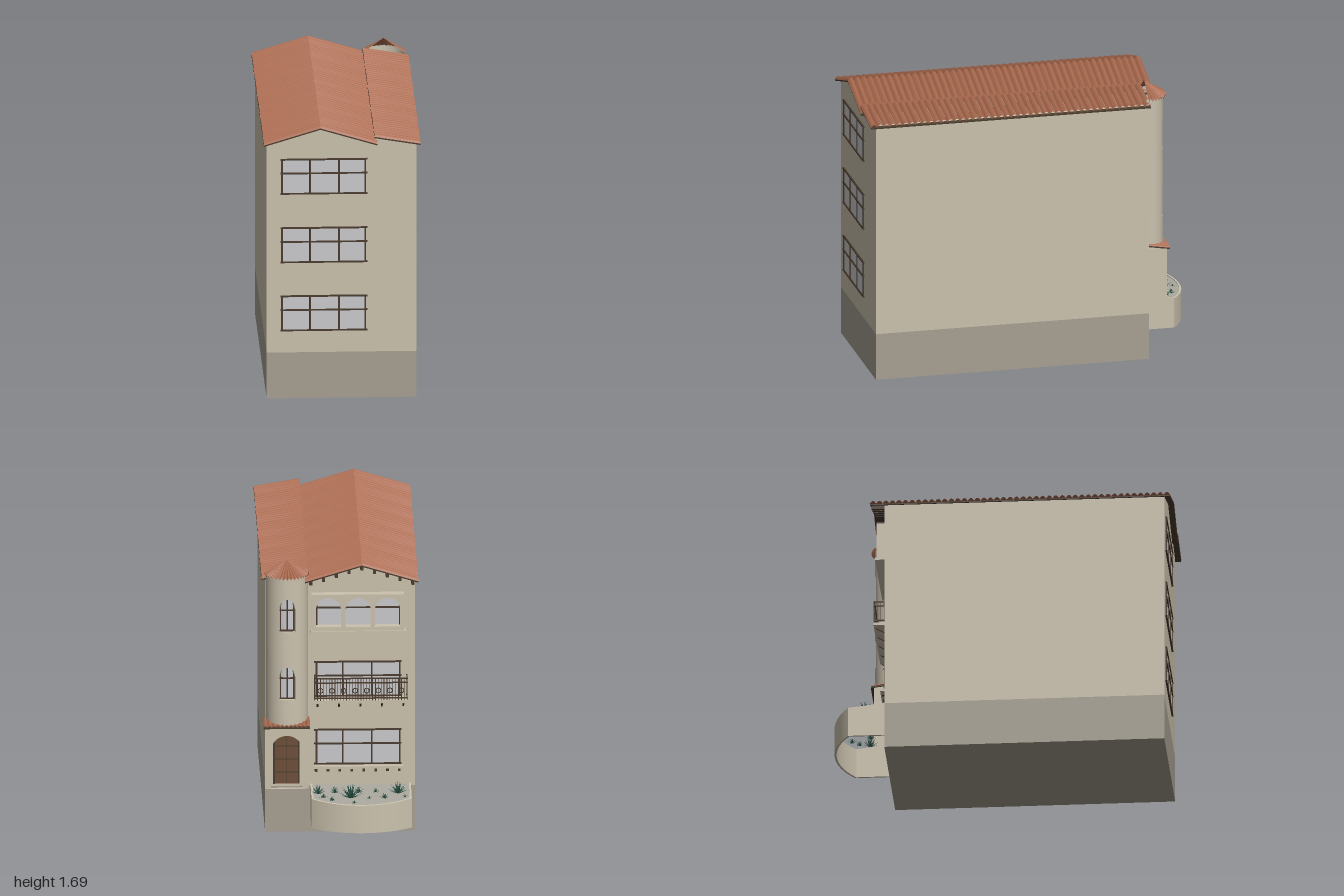
import * as THREE from 'three';
import { mergeGeometries, toCreasedNormals } from 'three/addons/utils/BufferGeometryUtils.js';

const mat = (name, color, side = THREE.FrontSide) =>
  Object.assign(new THREE.MeshStandardMaterial({ color, side }), { name });
const M = {
  wall: mat('plaster', 0xcbc2ae, THREE.DoubleSide),
  base: mat('plinth stone', 0xa69f92),
  tile: mat('terracotta', 0xa9694e, THREE.DoubleSide),
  wood: mat('dark wood', 0x4a3c2f, THREE.DoubleSide),
  door: mat('door wood', 0x6e4e38),
  glass: mat('glass', 0xcacacd, THREE.DoubleSide),
  soil: mat('gravel', 0xaaa89e),
  plant: mat('leaf green', 0x2f5a4c, THREE.DoubleSide),
};

const BACK = -0.685, FRONT = 0.965;
const TOWER = { x: 0.31, z: -0.67, r: 0.125 };

const add = (parent, name, geo, material) => {
  const m = new THREE.Mesh(geo, material);
  m.name = name;
  parent.add(m);
  return m;
};

// Box given by its limits on each axis
const slab = (x0, x1, y0, y1, z0, z1) =>
  new THREE.BoxGeometry(x1 - x0, y1 - y0, z1 - z0)
    .translate((x0 + x1) / 2, (y0 + y1) / 2, (z0 + z1) / 2);

// Surface from a list of four-cornered faces
function quads(list, crease = 0.6) {
  const pos = [];
  for (const [a, b, c, d] of list) pos.push(...a, ...b, ...c, ...a, ...c, ...d);
  const g = new THREE.BufferGeometry();
  g.setAttribute('position', new THREE.Float32BufferAttribute(pos, 3));
  g.computeVertexNormals();
  return toCreasedNormals(g, crease);
}

const polygon = pts => new THREE.Shape(pts.map(p => new THREE.Vector2(...p)));
const extrude = (shape, depth, z = 0) =>
  new THREE.ExtrudeGeometry(shape, { depth, bevelEnabled: false, curveSegments: 12 }).translate(0, 0, z);

// Round-headed opening
function archPath(cx, halfW, y0, spring) {
  const p = new THREE.Path();
  p.moveTo(cx - halfW, y0);
  p.lineTo(cx + halfW, y0);
  p.lineTo(cx + halfW, spring);
  p.absarc(cx, spring, halfW, 0, Math.PI, false);
  p.lineTo(cx - halfW, y0);
  return p;
}

// Barrel-tile slope: falls from (x0,y0) to (x1,y1), tiles repeat along z
function tileSlope(parent, name, x0, y0, x1, y1, z0, z1, pitch = 0.0385, rise = 0.018) {
  const g = new THREE.Group();
  g.name = name;
  const count = Math.round((z1 - z0) / pitch), seg = 6, faces = [];
  const at = (i, x, y) => [x, y + rise * Math.sin(Math.PI * (i % seg) / seg), z0 + (z1 - z0) * i / (count * seg)];
  for (let i = 0; i < count * seg; i++)
    faces.push([at(i, x0, y0), at(i, x1, y1), at(i + 1, x1, y1), at(i + 1, x0, y0)]);
  add(g, name + 'Tiles', quads(faces), M.tile);
  const board = polygon([[x0, y0 - 0.002], [x1, y1 - 0.002], [x1, y1 - 0.009], [x0, y0 - 0.009]]);
  add(g, name + 'Boards', extrude(board, z1 - z0 - 0.004, z0 + 0.002), M.wood);
  parent.add(g);
  return g;
}

// Three-pane window on the front (side 1) or back (side -1) wall
function wideWindow(parent, y, side) {
  const g = new THREE.Group();
  g.name = side > 0 ? 'frontWindow' : 'backWindow';
  const z = side > 0 ? FRONT : BACK;
  const plate = (x0, x1, y0, y1, d) => slab(x0, x1, y0, y1, z - (side < 0 ? d : 0), z + (side > 0 ? d : 0));
  add(g, 'glass', plate(-0.355, 0.135, y, y + 0.21, 0.003), M.glass);
  const bars = [0, 0.125, 0.21].map(h => plate(-0.365, 0.148, y + h - 0.004, y + h + 0.005, 0.01));
  for (const x of [-0.355, -0.19, -0.02, 0.135]) bars.push(plate(x - 0.005, x + 0.005, y, y + 0.21, 0.008));
  add(g, 'windowFrame', mergeGeometries(bars), M.wood);
  parent.add(g);
}

// Half-round stair tower with arched window openings
function tower(parent) {
  const g = new THREE.Group();
  g.name = 'tower';
  const { x: cx, z: cz, r } = TOWER, n = 40, inner = 0.1, half = 5, faces = [], levels = [0.85, 1.27];
  const ang = i => (i - n / 2) * Math.PI / n;
  const p = (i, y, rad = r) => [cx + rad * Math.sin(ang(i)), y, cz - rad * Math.cos(ang(i))];
  const top = (i, y) => y + 0.14 + 0.06 * Math.sqrt(Math.max(0, 1 - ((i - n / 2) / half) ** 2));
  const panel = (i, a0, b0, a1, b1) => faces.push([p(i, a0), p(i, a1), p(i + 1, b1), p(i + 1, b0)]);
  for (let i = 0; i < n; i++) {
    if (i < n / 2 - half || i >= n / 2 + half) { panel(i, 0.69, 0.69, 1.61, 1.61); continue; }
    let a = 0.69, b = 0.69;
    for (const y of levels) {
      panel(i, a, b, y, y);
      a = top(i, y); b = top(i + 1, y);
      faces.push([p(i, y), p(i, y, inner), p(i + 1, y, inner), p(i + 1, y)]);
      faces.push([p(i, a), p(i + 1, b), p(i + 1, b, inner), p(i, a, inner)]);
    }
    panel(i, a, b, 1.61, 1.61);
  }
  for (const y of levels) for (const i of [n / 2 - half, n / 2 + half])
    faces.push([p(i, y), p(i, y + 0.14), p(i, y + 0.14, inner), p(i, y, inner)]);
  add(g, 'towerWall', quads(faces, 0.5), M.wall);
  for (const y of levels) {
    const pane = new THREE.CylinderGeometry(inner, inner, 0.21, 12, 1, true, Math.PI - 0.5, 1);
    add(g, 'towerGlass', pane.translate(cx, y + 0.1, cz), M.glass);
    const zf = cz - inner;
    add(g, 'towerWindowFrame', mergeGeometries([
      slab(cx - 0.004, cx + 0.004, y, y + 0.2, zf - 0.006, zf + 0.004),
      slab(cx - 0.044, cx + 0.044, y + 0.125, y + 0.133, zf - 0.005, zf + 0.012),
      slab(cx - 0.044, cx + 0.044, y, y + 0.008, zf - 0.005, zf + 0.012),
      slab(cx - 0.044, cx - 0.036, y, y + 0.16, zf - 0.002, zf + 0.014),
      slab(cx + 0.036, cx + 0.044, y, y + 0.16, zf - 0.002, zf + 0.014),
    ]), M.wood);
  }
  // Ribbed half-cone roof
  const ribs = 18, seg = 6, cone = [];
  const q = (i, rad, y, h) => {
    const t = Math.PI * i / (ribs * seg);
    return [cx + rad * Math.cos(t), y + h * Math.sin(Math.PI * (i % seg) / seg), BACK - rad * Math.sin(t)];
  };
  for (let i = 0; i < ribs * seg; i++)
    cone.push([q(i, 0.13, 1.595, 0.014), q(i + 1, 0.13, 1.595, 0.014), q(i + 1, 0.004, 1.687, 0), q(i, 0.004, 1.687, 0)]);
  add(g, 'towerRoof', quads(cone), M.tile);
  parent.add(g);
}

// Arched entrance porch with door
function porch(parent) {
  const g = new THREE.Group();
  g.name = 'porch';
  const face = polygon([[0.185, 0.3], [0.44, 0.3], [0.44, 0.685], [0.185, 0.685]]);
  face.holes.push(archPath(0.3125, 0.093, 0.301, 0.535));
  add(g, 'porchArch', extrude(face, 0.02, -0.793), M.wall);
  for (const x of [0.185, 0.425]) add(g, 'porchSide', slab(x, x + 0.015, 0.3, 0.685, -0.775, BACK), M.wall);
  add(g, 'door', slab(0.245, 0.38, 0.3, 0.6, BACK - 0.008, BACK), M.door);
  const trim = [slab(0.235, 0.245, 0.3, 0.61, BACK - 0.012, BACK), slab(0.38, 0.39, 0.3, 0.61, BACK - 0.012, BACK),
    slab(0.235, 0.39, 0.6, 0.61, BACK - 0.012, BACK), slab(0.31, 0.315, 0.3, 0.6, BACK - 0.01, BACK)];
  for (const y of [0.37, 0.45, 0.53]) trim.push(slab(0.245, 0.38, y, y + 0.005, BACK - 0.01, BACK));
  add(g, 'doorFrame', mergeGeometries(trim), M.wood);
  tileSlope(g, 'porchRoof', 0.685, 0.705, 0.81, 0.685, 0.175, 0.45, 0.025, 0.01).rotation.y = Math.PI / 2;
  parent.add(g);
}

// Balcony with iron railing and brackets
function balcony(parent) {
  const g = new THREE.Group();
  g.name = 'balcony';
  const x0 = -0.4, x1 = 0.15, z = -0.752;
  add(g, 'balconyFloor', slab(x0, x1, 0.812, 0.83, z, BACK), M.wall);
  const bars = [];
  for (const y of [0.84, 0.935, 0.962]) {
    bars.push(slab(x0, x1, y, y + 0.007, z, z + 0.007));
    for (const x of [x0, x1 - 0.007]) bars.push(slab(x, x + 0.007, y, y + 0.007, z, BACK));
  }
  for (let i = 0; i <= 32; i++) {
    const x = x0 + 0.003 + i * (x1 - x0 - 0.006) / 32;
    bars.push(slab(x - 0.002, x + 0.002, 0.83, 0.965, z + 0.001, z + 0.005));
    if (i % 4 === 2) bars.push(new THREE.TorusGeometry(0.015, 0.003, 4, 10).translate(x, 0.89, z + 0.003));
  }
  for (const x of [x0 + 0.003, x1 - 0.003]) for (const d of [0.02, 0.04]) bars.push(slab(x - 0.002, x + 0.002, 0.83, 0.965, z + d, z + d + 0.004));
  for (let i = 0; i < 5; i++) {
    const x = -0.38 + i * 0.126;
    bars.push(extrude(polygon([[0, 0.812], [0.055, 0.812], [0.055, 0.802], [0, 0.77]]), 0.01).rotateY(Math.PI / 2).translate(x, 0, BACK));
  }
  add(g, 'balconyRailing', mergeGeometries(bars.map(b => b.index ? b.toNonIndexed() : b)), M.wood);
  parent.add(g);
}

// Rosette of pointed leaves
function agave(parent, x, y, z, s) {
  const leaves = [];
  for (let ring = 0; ring < 3; ring++) for (let i = 0; i < 8; i++) {
    const leaf = new THREE.ConeGeometry(s * 0.11, s, 4).scale(1, 1, 0.4).translate(0, s / 2, 0);
    leaves.push(leaf.rotateX(0.25 + ring * 0.45).rotateY((i + ring * 0.4) * Math.PI / 4));
  }
  add(parent, 'agave', mergeGeometries(leaves).translate(x, y, z), M.plant);
}

// Curved planter bed
function planter(parent) {
  const g = new THREE.Group();
  g.name = 'planter';
  const outline = (Kind, inset) => {
    const s = new Kind(), r = 0.485 - inset, w = 0.295 - inset, a = Math.acos(w / r);
    s.moveTo(-0.125 - w, 0.685);
    s.lineTo(-0.125 + w, 0.685);
    s.absarc(-0.125, 0.515, r, a, Math.PI - a, false);
    s.lineTo(-0.125 - w, 0.685);
    return s;
  };
  const lift = geo => {
    const p = geo.attributes.position;
    for (let i = 0; i < p.count; i++) if (p.getY(i) > 0.2) p.setY(i, p.getY(i) + (p.getZ(i) + 1) * 0.12);
    geo.computeVertexNormals();
    return geo;
  };
  const ring = outline(THREE.Shape, 0);
  ring.holes.push(outline(THREE.Path, 0.012));
  const wall = new THREE.ExtrudeGeometry(ring, { depth: 0.17, bevelEnabled: false, curveSegments: 28 });
  add(g, 'planterWall', toCreasedNormals(lift(wall.rotateX(-Math.PI / 2).translate(0, 0.09, 0)), 0.5), M.wall);
  const bed = new THREE.ShapeGeometry(outline(THREE.Shape, 0.01), 28);
  add(g, 'planterGravel', lift(bed.rotateX(-Math.PI / 2).translate(0, 0.255, 0)), M.soil);
  const spots = [[-0.06, -0.87, 0.085], [-0.34, -0.81, 0.07], [-0.26, -0.88, 0.035], [0.05, -0.91, 0.03], [0.13, -0.81, 0.055],
    [0.1, -0.87, 0.03], [-0.17, -0.89, 0.02], [-0.21, -0.8, 0.03], [-0.11, -0.8, 0.04], [0.03, -0.8, 0.04], [-0.38, -0.87, 0.02], [-0.08, -0.95, 0.02]];
  for (const [x, z, s] of spots) agave(g, x, 0.25 + (z + 1) * 0.12, z, s);
  parent.add(g);
}

export function createModel() {
  const house = new THREE.Group();
  house.name = 'townhouse';
  const len = FRONT - BACK;

  // Body and plinth
  add(house, 'plinth', slab(-0.445, 0.437, 0, 0.283, BACK, FRONT), M.base);
  add(house, 'walls', extrude(polygon([[-0.445, 0.283], [0.437, 0.283], [0.437, 1.575], [0.195, 1.615],
    [0.19, 1.565], [-0.13, 1.662], [-0.445, 1.566]]), len, BACK), M.wall);

  // Roofs
  tileSlope(house, 'mainRoofRight', -0.13, 1.672, -0.462, 1.571, -0.77, 1);
  tileSlope(house, 'mainRoofLeft', -0.13, 1.672, 0.205, 1.571, -0.77, 1);
  tileSlope(house, 'sideRoof', 0.188, 1.616, 0.458, 1.571, -0.695, 1);
  for (let i = 0; i < 9; i++) {
    const x = -0.43 + i * 0.075, y = 1.66 - 0.305 * Math.abs(x + 0.13);
    add(house, 'rafterTail', slab(x - 0.009, x + 0.009, y - 0.022, y, -0.76, BACK), M.wood);
  }

  // Windows on both ends
  for (const y of [0.42, 0.84, 1.262]) for (const side of [1, -1]) wideWindow(house, y, side);

  // Arcade before the top back window
  const arcade = polygon([[-0.38, 1.25], [0.165, 1.25], [0.165, 1.48], [-0.38, 1.48]]);
  for (const x of [-0.282, -0.108, 0.066]) arcade.holes.push(archPath(x, 0.074, 1.28, 1.385));
  add(house, 'arcade', extrude(arcade, 0.05, BACK - 0.05), M.wall);
  add(house, 'arcadeLedge', slab(-0.39, 0.172, 1.24, 1.256, BACK - 0.058, BACK), M.wall);

  // Sill with small corbels under the lowest back window
  add(house, 'sill', slab(-0.375, 0.15, 0.395, 0.41, BACK - 0.03, BACK), M.wall);
  for (let i = 0; i < 8; i++)
    add(house, 'sillCorbel', slab(-0.36 + i * 0.07, -0.345 + i * 0.07, 0.375, 0.395, BACK - 0.02, BACK), M.wood);

  tower(house);
  porch(house);
  balcony(house);
  planter(house);
  return house;
}
